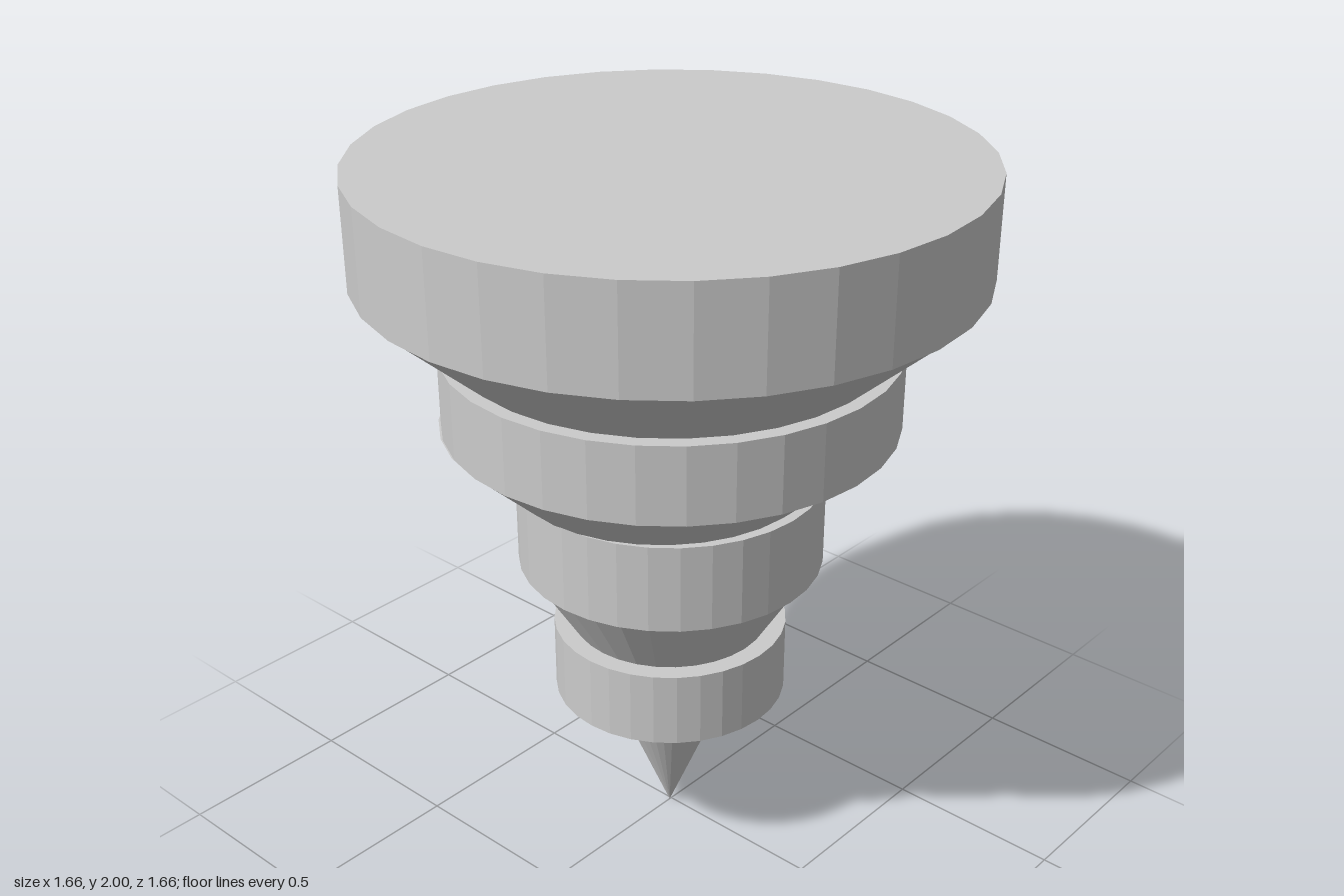
import * as THREE from 'three';

const SIDES = 32;

export function createModel() {
  const model = new THREE.Group();
  const material = new THREE.MeshStandardMaterial({ color: 0xcccccc, flatShading: true });

  // Solid round section between two heights
  function section(name, bottomY, topY, bottomR, topR, x = 0, z = 0) {
    const h = topY - bottomY;
    const geometry = bottomR === 0
      ? new THREE.ConeGeometry(topR, h, SIDES).rotateX(Math.PI)
      : new THREE.CylinderGeometry(topR, bottomR, h, SIDES);
    const mesh = new THREE.Mesh(geometry, material);
    mesh.name = name;
    mesh.position.set(x, bottomY + h / 2, z);
    model.add(mesh);
  }

  // Straight discs, widest at the top
  section('topDisc', 1.72, 2, 0.83, 0.83);
  section('upperDisc', 1.29, 1.505, 0.618, 0.618, -0.003, 0.003);
  section('middleDisc', 0.87, 1.12, 0.425, 0.425, -0.005, 0.003);
  section('lowerDisc', 0.445, 0.66, 0.33, 0.33, -0.005, 0);

  // Tapered collars, each running into the disc below
  section('upperTaper', 1.495, 1.72, 0.57, 0.825);
  section('middleTaper', 1.07, 1.285, 0.37, 0.6, -0.01, -0.025);
  section('lowerTaper', 0.64, 0.86, 0.265, 0.4, -0.005, 0);

  // Pointed tip
  section('tip', 0, 0.43, 0, 0.175, -0.007, 0);

  // Thin necks bridging the gaps under the discs
  section('upperNeck', 1.28, 1.295, 0.335, 0.335, -0.005, -0.01);
  section('middleNeck', 0.855, 0.875, 0.16, 0.16, -0.01, 0);
  section('lowerNeck', 0.425, 0.45, 0.145, 0.145, -0.005, 0);

  return model;
}
